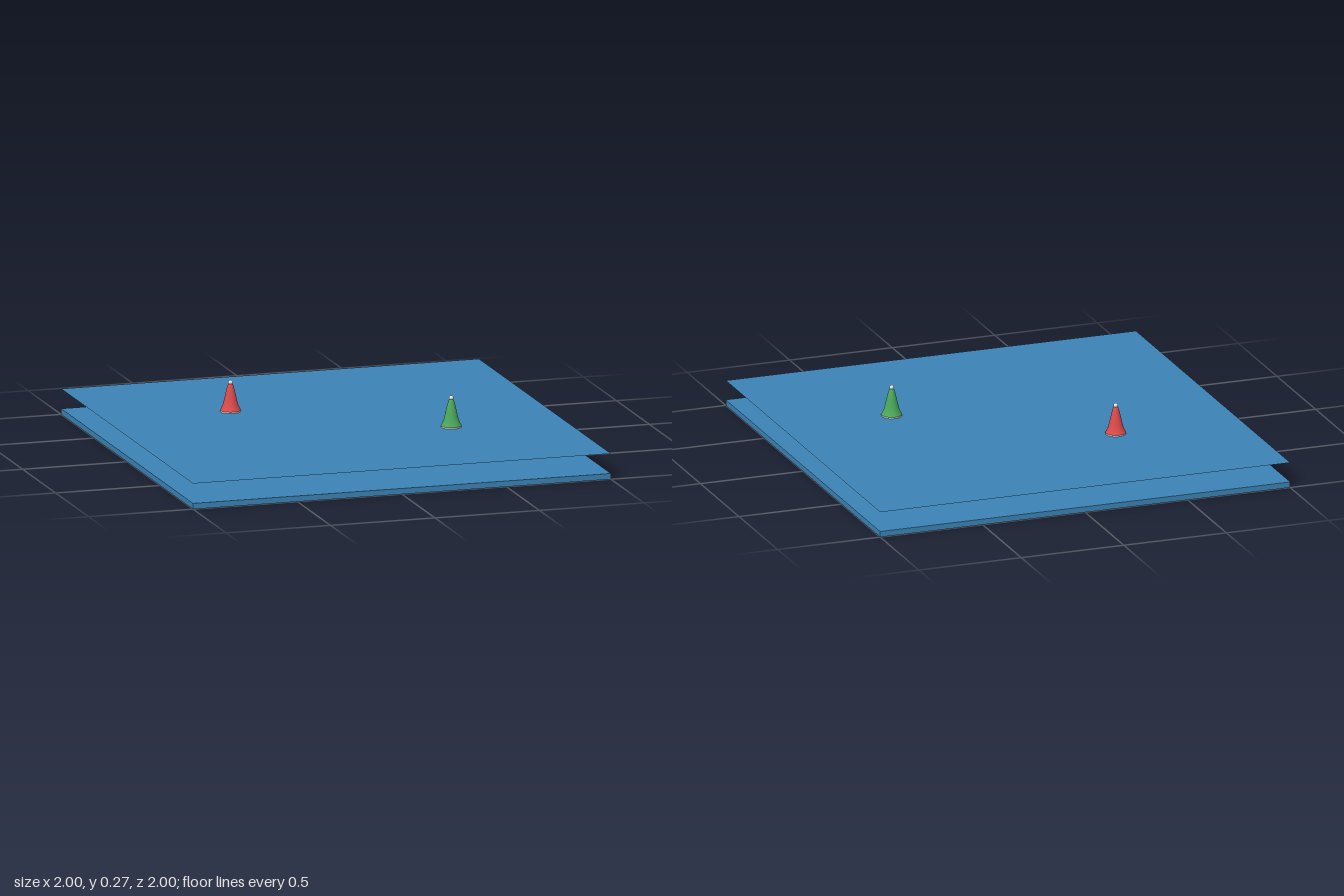
import * as THREE from 'three';

const mat = (name, color, side = THREE.FrontSide) => {
  const m = new THREE.MeshStandardMaterial({ color, side });
  m.name = name;
  return m;
};

export function createModel() {
  const blue = mat('waterBlue', 0x3c84b6, THREE.DoubleSide);
  const red = mat('buoyRed', 0xdd4a4a);
  const green = mat('buoyGreen', 0x4ca85a);
  const white = mat('buoyWhite', 0xe6e6e6);

  const model = new THREE.Group();
  model.name = 'waterWithBuoys';
  const add = (parent, name, geometry, material, x = 0, y = 0, z = 0) => {
    const mesh = new THREE.Mesh(geometry, material);
    mesh.name = name;
    mesh.position.set(x, y, z);
    parent.add(mesh);
  };

  // Sea bed slab and the thin water surface floating above it
  add(model, 'seaBed', new THREE.BoxGeometry(2, 0.027, 2), blue, 0, 0.0135, 0);
  add(model, 'waterSurface', new THREE.PlaneGeometry(2, 2).rotateX(-Math.PI / 2), blue, 0, 0.12, 0);

  // Flared cone body, measured from the underside of the float
  const profile = [[0.048, 0.032], [0.043, 0.040], [0.035, 0.058], [0.030, 0.078],
    [0.024, 0.105], [0.018, 0.130], [0.012, 0.150], [0.007, 0.158], [0, 0.160]]
    .map(([r, y]) => new THREE.Vector2(r, y));
  const bodyGeometry = new THREE.LatheGeometry(profile, 32);
  const floatGeometry = new THREE.CylinderGeometry(0.048, 0.044, 0.032, 32);
  const lampGeometry = new THREE.SphereGeometry(0.011, 16, 12);

  const addBuoy = (name, material, x, z) => {
    const buoy = new THREE.Group();
    buoy.name = name;
    buoy.position.set(x, 0.095, z);
    add(buoy, 'float', floatGeometry, white, 0, 0.016, 0);
    add(buoy, 'body', bodyGeometry, material);
    add(buoy, 'lamp', lampGeometry, white, 0, 0.161, 0);
    model.add(buoy);
  };
  addBuoy('redBuoy', red, -0.4, -0.333);
  addBuoy('greenBuoy', green, 0.467, 0.267);

  return model;
}
